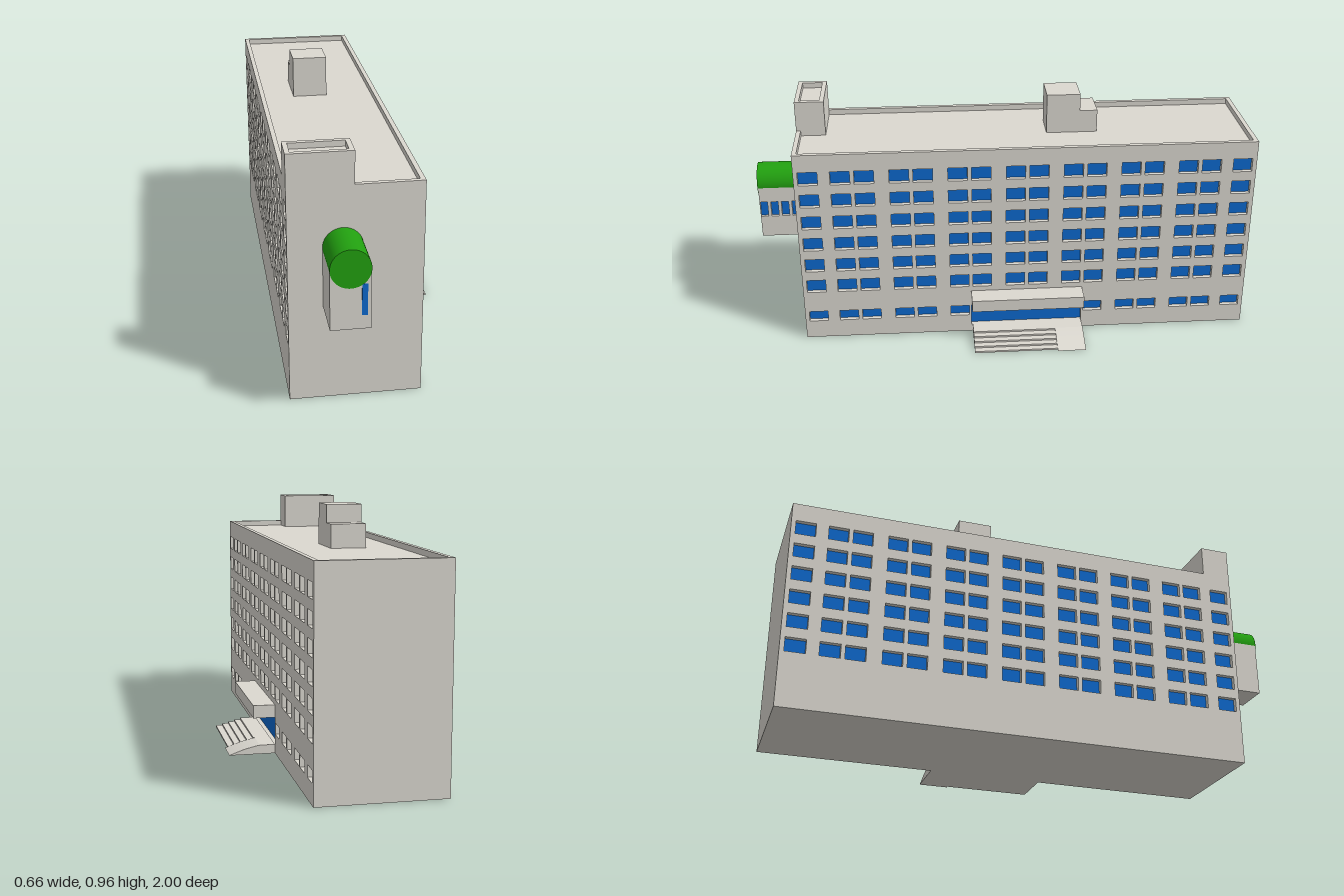
import * as THREE from 'three';

const wallMat = new THREE.MeshStandardMaterial({ color: 0xdbd8d0 });
const glassMat = new THREE.MeshStandardMaterial({ color: 0x0d69ce });
const greenMat = new THREE.MeshStandardMaterial({ color: 0x22a010 });

export function createModel() {
  const model = new THREE.Group();

  const add = (name, geometry, material = wallMat, parent = model) => {
    const mesh = new THREE.Mesh(geometry, material);
    mesh.name = name;
    parent.add(mesh);
    return mesh;
  };

  // Box given by its limits on each axis
  const block = (name, x0, x1, y0, y1, z0, z1, material, parent) => {
    const g = new THREE.BoxGeometry(x1 - x0, y1 - y0, z1 - z0);
    g.translate((x0 + x1) / 2, (y0 + y1) / 2, (z0 + z1) / 2);
    return add(name, g, material, parent);
  };

  const rectangle = (Type, a0, a1, b0, b1) => {
    const p = new Type();
    p.moveTo(a0, b0).lineTo(a1, b0).lineTo(a1, b1).lineTo(a0, b1).closePath();
    return p;
  };

  // Wall panel across x with window openings; a pane sits at the back of each
  const facade = (name, x0, x1, y0, y1, z0, z1, openings, side) => {
    const group = new THREE.Group();
    group.name = name;
    model.add(group);
    const shape = rectangle(THREE.Shape, -z1, -z0, y0, y1);
    const inner = side > 0 ? x0 : x1;
    for (const o of openings) {
      shape.holes.push(rectangle(THREE.Path, -o.z - o.w / 2, -o.z + o.w / 2, o.y - o.h / 2, o.y + o.h / 2));
      const pane = new THREE.PlaneGeometry(o.w, o.h);
      pane.rotateY(side * Math.PI / 2).translate(inner + side * 0.002, o.y, o.z);
      add('windowPane', pane, glassMat, group);
    }
    const g = new THREE.ExtrudeGeometry(shape, { depth: x1 - x0, bevelEnabled: false });
    g.rotateY(Math.PI / 2).translate(x0, 0, 0);
    add('wall', g, wallMat, group);
  };

  // Rectangular rim around a roof
  const parapet = (name, x0, x1, y0, y1, z0, z1, t) => {
    const shape = rectangle(THREE.Shape, x0, x1, -z1, -z0);
    shape.holes.push(rectangle(THREE.Path, x0 + t, x1 - t, -z1 + t, -z0 - t));
    const g = new THREE.ExtrudeGeometry(shape, { depth: y1 - y0, bevelEnabled: false });
    g.rotateX(-Math.PI / 2).translate(0, y0, 0);
    add(name, g);
  };

  // Profile in x and y, extruded along z
  const profile = (name, shape, z0, z1) => {
    const g = new THREE.ExtrudeGeometry(shape, { depth: z1 - z0, bevelEnabled: false, curveSegments: 10 });
    g.translate(0, 0, z0);
    add(name, g);
  };

  // Main block
  const L = -0.33, R = 0.15, B = -1, F = 0.827, roofY = 0.803, topY = 0.825, D = 0.02;
  block('mainBlock', L + D, R - D, 0, roofY, B, F);
  parapet('roofParapet', L, R, roofY, topY, B, F, 0.018);

  // Window columns: one single, seven pairs, one single
  const columns = [0.772];
  for (let i = 0; i < 7; i++) {
    const c = 0.601 - i * 0.229;
    columns.push(c + 0.0465, c - 0.0465);
  }
  columns.push(-0.944);
  const upper = [];
  for (let row = 0; row < 6; row++) {
    for (const z of columns) upper.push({ z, y: 0.242 + row * 0.0965, w: 0.0765, h: 0.056 });
  }
  const entryBack = -0.315, entryFront = 0.143;
  const lower = columns
    .filter((z) => z > entryFront || z < entryBack)
    .map((z) => ({ z, y: 0.1, w: 0.0765, h: 0.045 }));
  const entry = { z: (entryBack + entryFront) / 2, y: 0.0875, w: entryFront - entryBack, h: 0.111 };
  facade('entranceFacade', R - D, R, 0, roofY, B, F, [...upper, ...lower, entry], 1);
  facade('rearFacade', L, L + D, 0, roofY, B, F, upper, -1);

  // Corner tower above the roof
  block('cornerTower', L, -0.095, roofY, 0.925, 0.71, F);
  parapet('towerParapet', L, -0.095, 0.925, 0.947, 0.71, F, 0.018);

  // Stepped stair housing on the roof
  block('roofHousing', -0.19, -0.053, roofY, 0.965, -0.315, -0.18);
  block('roofHousingLow', -0.19, -0.053, roofY, 0.895, -0.385, -0.315);

  // Projecting bay with a round green top
  const cx = -0.136, r = 0.071;
  block('bay', cx - r, cx + r - 0.015, 0.37, 0.6, F, 0.998);
  const bayWindows = [0.981, 0.938, 0.895, 0.852].map((z) => ({ z, y: 0.493, w: 0.03, h: 0.065 }));
  facade('baySide', cx + r - 0.015, cx + r, 0.37, 0.6, F, 0.998, bayWindows, 1);
  block('bayFrontWindow', -0.098, -0.078, 0.422, 0.54, 0.99, 0.9995, glassMat);
  const drum = new THREE.CylinderGeometry(r + 0.0005, r + 0.0005, 1 - F, 64);
  drum.rotateX(Math.PI / 2).translate(cx, 0.597, (1 + F) / 2);
  add('greenDrum', drum, greenMat);

  // Entrance canopy
  block('canopy', R, 0.235, 0.143, 0.193, entryBack, entryFront);

  // Landing with steps
  const steps = new THREE.Shape();
  steps.moveTo(R, 0).lineTo(0.32, 0);
  for (let i = 0; i < 4; i++) {
    const x = 0.32 - i * 0.026, y = 0.007 * (i + 1);
    steps.lineTo(x, y).lineTo(x - 0.026, y);
  }
  steps.lineTo(0.216, 0.035).lineTo(R, 0.035);
  profile('entranceSteps', steps, -0.2, 0.138);

  // Curved ramp beside the steps
  const ramp = new THREE.Shape();
  ramp.moveTo(R, 0).lineTo(0.33, 0);
  ramp.quadraticCurveTo(0.27, 0.025, 0.21, 0.035);
  ramp.lineTo(R, 0.035);
  profile('entranceRamp', ramp, entryBack, -0.2);

  return model;
}
